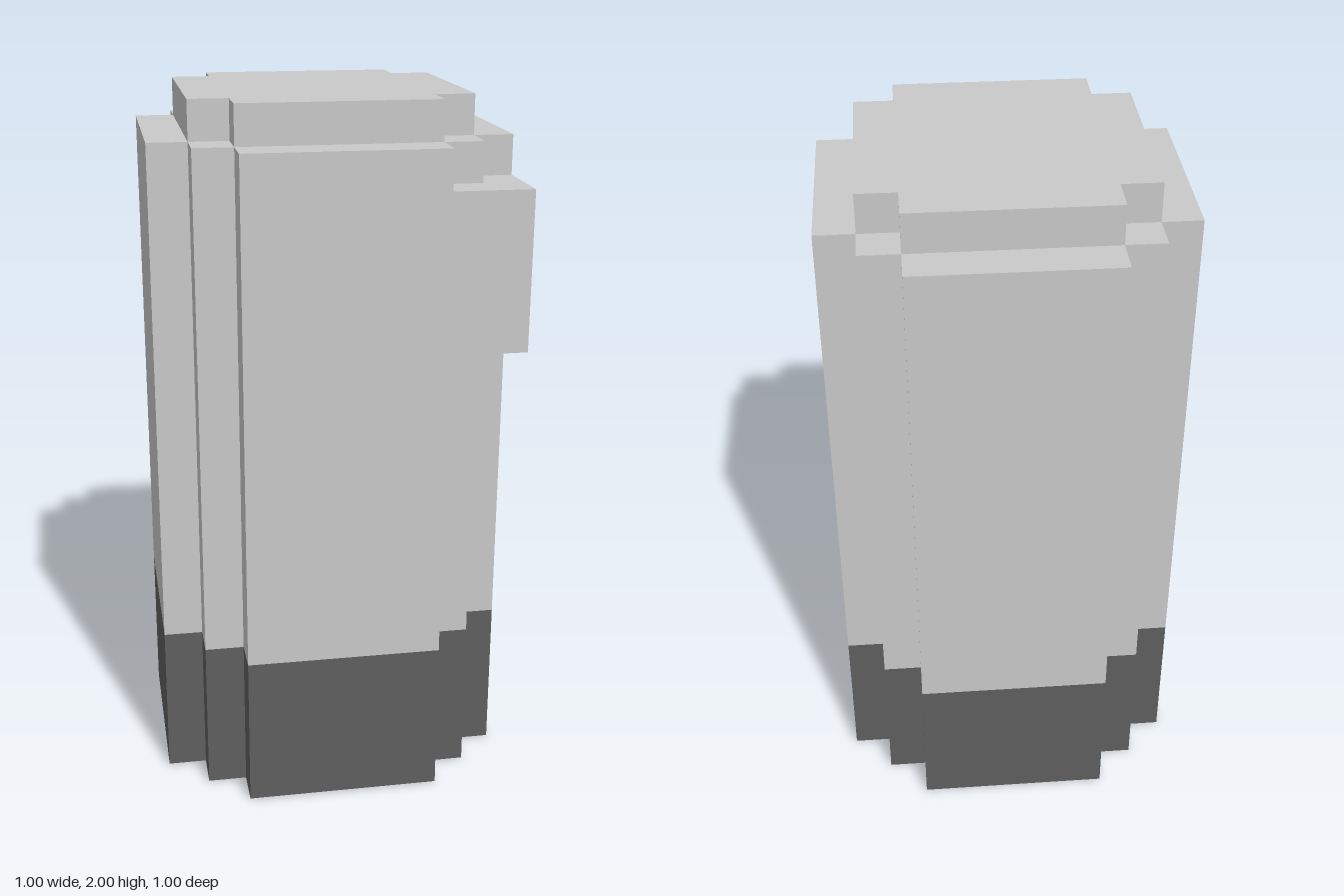
import * as THREE from 'three';

const U = 1 / 9; // one grid cell

const lightGrey = new THREE.MeshStandardMaterial({ name: 'lightGrey', color: 0xc9c9c9 });
const darkGrey = new THREE.MeshStandardMaterial({ name: 'darkGrey', color: 0x5f5f5f });

// Square outline with stair-stepped corners; widths are half-widths in cells, largest first
function steppedShape(widths) {
  const n = widths.length;
  const quarter = [];
  for (let i = 0; i < n; i++) {
    quarter.push([widths[i], widths[n - 1 - i]]);
    if (i < n - 1) quarter.push([widths[i + 1], widths[n - 1 - i]]);
  }
  const points = [];
  for (let q = 0; q < 4; q++) {
    const c = Math.round(Math.cos(q * Math.PI / 2));
    const s = Math.round(Math.sin(q * Math.PI / 2));
    for (const [x, y] of quarter) {
      points.push(new THREE.Vector2((x * c - y * s) * U, (x * s + y * c) * U));
    }
  }
  return new THREE.Shape(points);
}

// Upright stepped column between two heights, in cells
function column(name, widths, y0, y1, material) {
  const geo = new THREE.ExtrudeGeometry(steppedShape(widths), { depth: (y1 - y0) * U, bevelEnabled: false });
  geo.rotateX(-Math.PI / 2);
  geo.translate(0, y0 * U, 0);
  const mesh = new THREE.Mesh(geo, material);
  mesh.name = name;
  return mesh;
}

// Box from minimum to maximum corner, in cells
function block(name, min, max, material) {
  const size = max.map((v, i) => (v - min[i]) * U);
  const mesh = new THREE.Mesh(new THREE.BoxGeometry(...size), material);
  mesh.position.set(...max.map((v, i) => (v + min[i]) * U / 2));
  mesh.name = name;
  return mesh;
}

export function createModel() {
  const model = new THREE.Group();
  model.name = 'steppedPillar';
  const plate = 0.03; // thickness of the underside plate, in cells

  // Main column: underside plate, dark base, light body and top cap
  model.add(
    column('undersidePlate', [3.5, 2.5, 1.5], 0, plate, lightGrey),
    column('base', [4.5, 3.5, 2.5], plate, 4, darkGrey),
    column('body', [4.5, 3.5, 2.5], 4, 17, lightGrey),
    column('cap', [3.5, 2.5], 17, 18, lightGrey),
  );

  // Square lump on the front left corner, with a small step below it
  model.add(
    block('cornerBlock', [2.5, 12, 2.5], [4.5, 16, 4.5], lightGrey),
    block('cornerStep', [2.5, 11, 3.5], [3.5, 12, 4.5], lightGrey),
  );
  return model;
}
